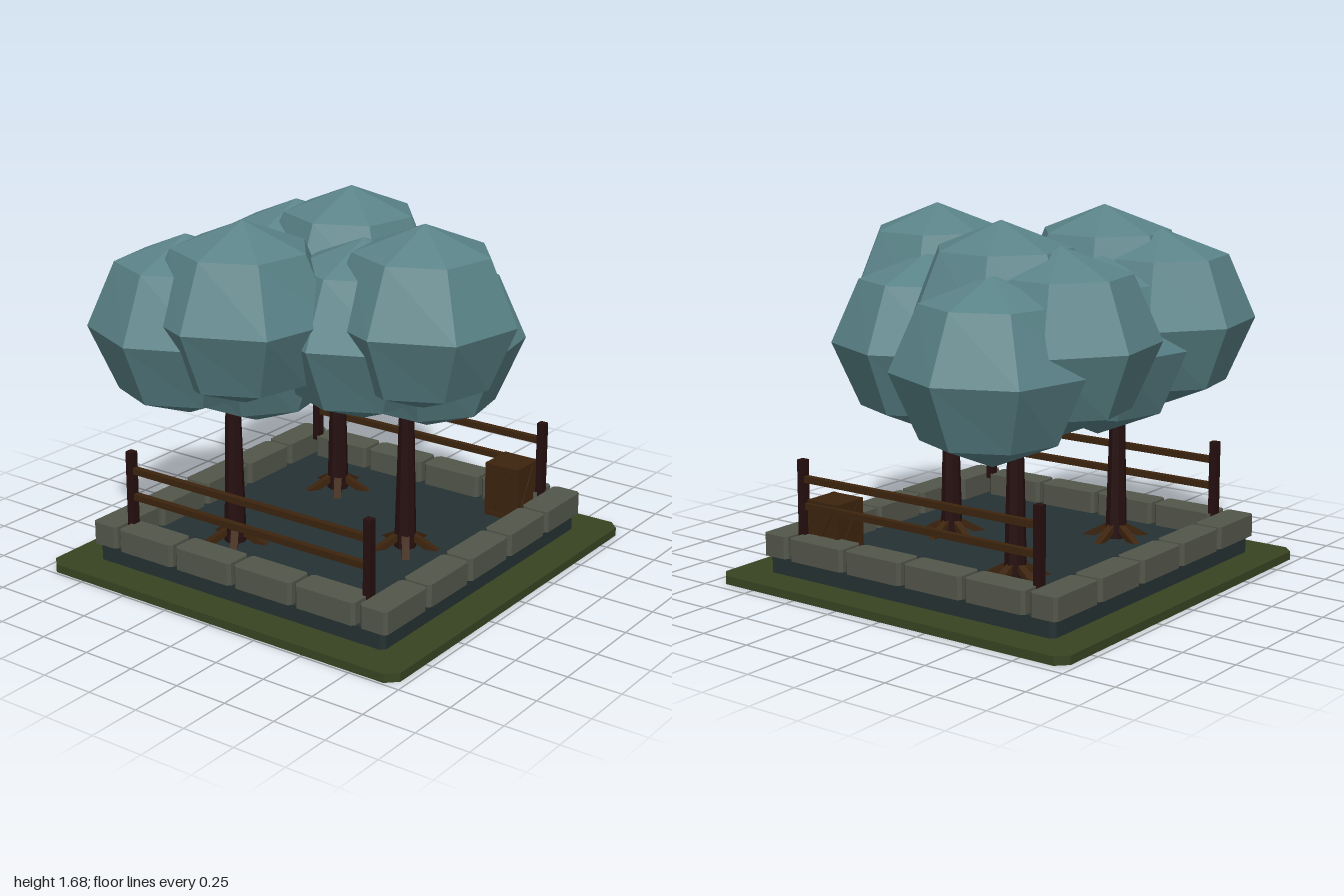
import * as THREE from 'three';

const mat = (name, color) => {
  const m = new THREE.MeshStandardMaterial({ color });
  m.name = name;
  return m;
};

// Faceted normals without sharing vertices
function faceted(geometry) {
  const g = geometry.index ? geometry.toNonIndexed() : geometry;
  g.computeVertexNormals();
  return g;
}

// Slab with cut vertical corners, base at y = 0
function cutSlab(w, h, d, cut) {
  const x = w / 2, z = d / 2;
  const s = new THREE.Shape([
    [-x + cut, -z], [x - cut, -z], [x, -z + cut], [x, z - cut],
    [x - cut, z], [-x + cut, z], [-x, z - cut], [-x, -z + cut],
  ].map(([a, b]) => new THREE.Vector2(a, b)));
  const g = new THREE.ExtrudeGeometry(s, { depth: h, bevelEnabled: false });
  return faceted(g.rotateX(-Math.PI / 2));
}

// Low-poly leaf ball, slightly irregular around its axis
function leafBall(turn) {
  const g = new THREE.SphereGeometry(1, 7, 4);
  const p = g.attributes.position;
  for (let i = 0; i < p.count; i++) {
    const x = p.getX(i), y = p.getY(i), z = p.getZ(i);
    const k = 1 + 0.025 * Math.sin(7 * x + 5 * y + 9 * z);
    p.setXYZ(i, x * k, y, z * k);
  }
  g.scale(0.435, 0.417, 0.435).rotateY(turn);
  return faceted(g);
}

export function createModel() {
  const model = new THREE.Group();
  model.name = 'walledGrove';
  const grass = mat('grass green', 0x384422);
  const soil = mat('dark soil', 0x253133);
  const stone = mat('grey stone', 0x53564a);
  const bark = mat('dark bark', 0x260f0f);
  const wood = mat('brown wood', 0x3d240e);
  const leaf = mat('blue green leaves', 0x5a8388);

  const add = (parent, name, geometry, material, x = 0, y = 0, z = 0) => {
    const m = new THREE.Mesh(geometry, material);
    m.name = name;
    m.position.set(x, y, z);
    parent.add(m);
    return m;
  };
  const box = (w, h, d) => new THREE.BoxGeometry(w, h, d);
  const cx = -0.02;

  // Ground and raised bed
  add(model, 'lawn', cutSlab(1.935, 0.04, 1.935, 0.05), grass, cx);
  add(model, 'soilBed', cutSlab(1.6, 0.08, 1.6, 0.02), soil, cx, 0.04);

  // Stone border: five blocks front and back, four along each side
  const wall = new THREE.Group();
  wall.name = 'stoneBorder';
  model.add(wall);
  const endBlock = cutSlab(0.313, 0.105, 0.14, 0.015);
  const sideBlock = cutSlab(0.14, 0.105, 0.315, 0.015);
  for (const s of [-1, 1]) {
    for (let i = 0; i < 5; i++) add(wall, 'endBlock', endBlock, stone, cx + (i - 2) * 0.329, 0.12, s * 0.752);
    for (let i = 0; i < 4; i++) add(wall, 'sideBlock', sideBlock, stone, cx + s * 0.75, 0.12, (i - 1.5) * 0.335);
  }

  // Fences on both sides
  for (const s of [-1, 1]) {
    const fence = new THREE.Group();
    fence.name = s > 0 ? 'leftFence' : 'rightFence';
    fence.position.x = cx + s * 0.71;
    model.add(fence);
    for (const z of [-0.662, 0.662]) add(fence, 'post', box(0.038, 0.375, 0.038), bark, 0, 0.387, z);
    for (const y of [0.358, 0.485]) add(fence, 'rail', box(0.03, 0.03, 1.3), wood, 0, y, 0);
  }

  // Crate with framed faces and a diagonal brace
  const crate = new THREE.Group();
  crate.name = 'crate';
  crate.position.set(0.595, 0.255, 0.555);
  model.add(crate);
  add(crate, 'crateBody', box(0.172, 0.262, 0.172), wood);
  for (let i = 0; i < 4; i++) {
    const side = new THREE.Group();
    side.name = 'crateFrame';
    side.rotation.y = i * Math.PI / 2;
    crate.add(side);
    for (const s of [-1, 1]) {
      add(side, 'frameUpright', box(0.02, 0.264, 0.006), wood, s * 0.079, 0, 0.087);
      add(side, 'frameBar', box(0.138, 0.02, 0.006), wood, 0, s * 0.121, 0.087);
    }
    add(side, 'brace', box(0.02, 0.24, 0.005), wood, 0, 0, 0.087).rotation.z = -0.5;
  }

  // Trees: trunk, splayed roots and three leaf balls each
  const trunkGeo = faceted(new THREE.CylinderGeometry(0.029, 0.052, 0.9, 8));
  const rootGeo = box(0.035, 0.17, 0.03);
  const balls = [
    [-0.09, 1.268, 0.145, 0],
    [-0.13, 1.172, -0.145, 0],
    [0.18, 1.073, -0.01, Math.PI],
  ].map(([x, y, z, turn]) => ({ g: leafBall(turn), x, y, z }));
  for (const [x, z] of [[-0.425, -0.31], [0.38, -0.31], [-0.02, 0.365]]) {
    const tree = new THREE.Group();
    tree.name = 'tree';
    tree.position.set(x, 0, z);
    model.add(tree);
    add(tree, 'trunk', trunkGeo, bark, 0, 0.57, 0);
    for (let i = 0; i < 5; i++) {
      const arm = new THREE.Group();
      arm.name = 'rootArm';
      arm.rotation.y = i * Math.PI * 2 / 5 + 0.3;
      tree.add(arm);
      add(arm, 'root', rootGeo, wood, 0, 0.148, 0.08).rotation.x = -1.05;
    }
    for (const b of balls) add(tree, 'foliage', b.g, leaf, b.x, b.y, b.z);
  }
  return model;
}
